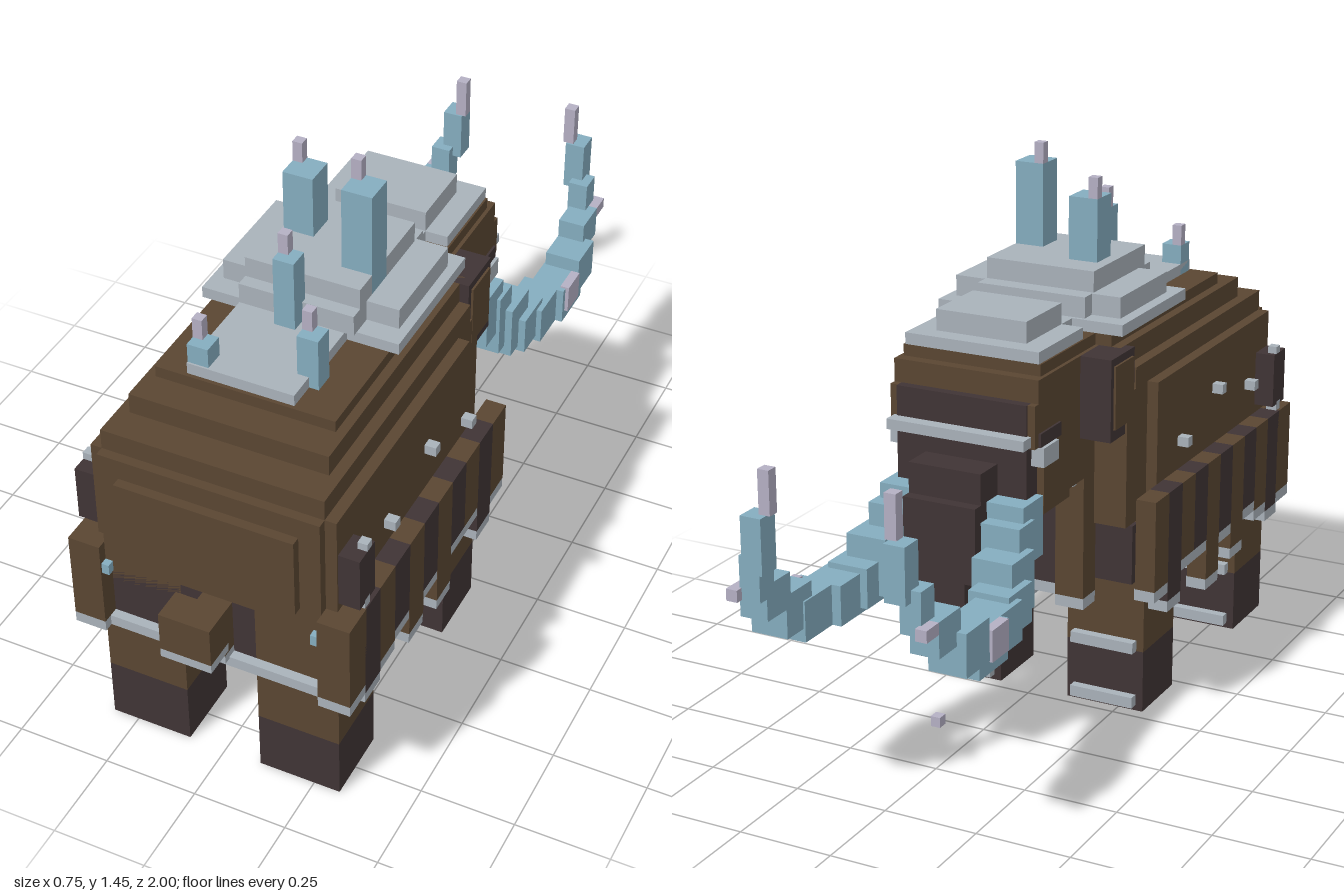
import * as THREE from 'three';

export function createModel() {
  const model = new THREE.Group();
  const mat = (name, color) => {
    const m = new THREE.MeshStandardMaterial({ color });
    m.name = name;
    return m;
  };
  const brown = mat('brown fur', 0x5a4632);
  const dark = mat('dark fur', 0x403435);
  const ice = mat('pale ice', 0xa9b2ba);
  const blue = mat('blue ice', 0x85adbf);
  const lilac = mat('lilac frost', 0xb5b0c4);

  // box given by its min and max along each axis
  const box = (name, m, x0, x1, y0, y1, z0, z1) => {
    const mesh = new THREE.Mesh(new THREE.BoxGeometry(x1 - x0, y1 - y0, z1 - z0), m);
    mesh.position.set((x0 + x1) / 2, (y0 + y1) / 2, (z0 + z1) / 2);
    mesh.name = name;
    model.add(mesh);
  };
  // box centred on x, and a left/right pair of boxes
  const mid = (name, m, w, ...r) => box(name, m, -w, w, ...r);
  const pair = (name, m, x0, x1, ...r) => {
    box(name + 'Left', m, x0, x1, ...r);
    box(name + 'Right', m, -x1, -x0, ...r);
  };

  // stepped body
  mid('bodyMain', brown, 0.32, 0.53, 0.89, 0.1, 0.84);
  mid('bodyShoulder', brown, 0.29, 0.53, 0.89, -0.02, 0.1);
  mid('rumpLower', brown, 0.29, 0.56, 0.89, 0.84, 0.865);
  mid('rumpPanel', brown, 0.235, 0.615, 0.835, 0.865, 0.89);
  mid('bodyUpper', brown, 0.29, 0.89, 0.945, 0.03, 0.84);
  mid('bodyHigh', brown, 0.26, 0.945, 1.0, 0.0, 0.755);
  mid('bodyTop', brown, 0.235, 1.0, 1.03, 0.0, 0.67);
  mid('neck', brown, 0.2, 0.65, 1.0, -0.08, 0.03);
  mid('belly', dark, 0.3, 0.37, 0.53, 0.0, 0.84);
  mid('rumpIceRim', ice, 0.29, 0.34, 0.37, 0.82, 0.865);
  mid('rumpTuft', brown, 0.04, 0.39, 0.53, 0.84, 0.885);
  mid('rumpTuftIce', ice, 0.04, 0.365, 0.39, 0.84, 0.885);
  pair('rumpCorner', brown, 0.29, 0.375, 0.37, 0.615, 0.8, 0.89);
  pair('rumpCornerIce', ice, 0.29, 0.375, 0.34, 0.37, 0.8, 0.89);
  pair('rumpCrystal', blue, 0.27, 0.295, 0.53, 0.56, 0.865, 0.885);
  pair('hipTuft', dark, 0.32, 0.375, 0.64, 0.79, 0.755, 0.835);
  pair('hipTuftIce', ice, 0.35, 0.375, 0.79, 0.81, 0.77, 0.795);

  // tail
  mid('tail', brown, 0.068, 0.475, 0.585, 0.915, 1.0);
  mid('tailIce', ice, 0.068, 0.45, 0.475, 0.915, 1.0);

  // hanging fur skirt in strips, each tipped with ice
  const hems = [0.34, 0.31, 0.34, 0.37, 0.285, 0.36, 0.255, 0.37, 0.37, 0.285, 0.34];
  hems.forEach((h, i) => {
    const z = 0.89 - i * 0.083;
    if (i) pair('skirtStrip', i % 2 ? dark : brown, 0.32, 0.375, h + 0.03, 0.615, z - 0.083, z);
    pair('skirtIce', ice, 0.318, 0.374, h, h + 0.03, z - 0.083, z);
  });
  // chest bib
  for (let i = 0; i < 5; i++) {
    const x = -0.2 + i * 0.08, h = i % 2 ? 0.34 : 0.31;
    box('chestStrip', i % 2 ? dark : brown, x, x + 0.08, h + 0.03, 0.65, -0.08, -0.01);
    box('chestIce', ice, x, x + 0.08, h, h + 0.03, -0.08, -0.01);
  }
  mid('throatIce', ice, 0.18, 0.65, 0.675, -0.1, -0.02);

  // small frost cubes on the flanks
  for (const [y, z] of [[0.74, 0.63], [0.795, 0.405], [0.715, 0.185], [0.635, 0.795]])
    pair('flankFrost', ice, 0.345, 0.375, y - 0.013, y + 0.013, z - 0.013, z + 0.013);

  // legs with dark feet and ice plates on the front
  for (const [z0, z1] of [[0.645, 0.84], [0.035, 0.225]]) {
    pair('leg', brown, 0.1, 0.32, 0.17, 0.53, z0, z1);
    pair('foot', dark, 0.1, 0.32, 0, 0.17, z0, z1);
    pair('toeIce', ice, 0.12, 0.3, 0.015, 0.045, z0 - 0.025, z0);
    pair('ankleIce', ice, 0.12, 0.3, 0.17, 0.2, z0 - 0.025, z0);
  }

  // ice sheets on the back
  box('backIceWide', ice, -0.265, 0.26, 1.03, 1.06, 0.0, 0.385);
  box('backIceRear', ice, -0.155, 0.125, 1.03, 1.06, 0.385, 0.66);
  box('backIceMiddle', ice, -0.235, 0.235, 1.06, 1.115, 0.05, 0.33);
  box('backIceMiddleRear', ice, -0.155, 0.15, 1.06, 1.115, 0.01, 0.4);
  box('backIceTop', ice, -0.155, 0.15, 1.115, 1.17, 0.06, 0.365);

  // crystals: x0, z0, width, base y, top y, tip on the low x and low z corner
  for (const [x, z, w, y0, y1] of [
    [-0.125, 0.14, 0.08, 1.1, 1.335], [0.07, 0.22, 0.08, 1.1, 1.39],
    [-0.04, 0.385, 0.055, 1.05, 1.25], [0.095, 0.53, 0.055, 1.0, 1.17],
    [-0.155, 0.6, 0.055, 1.0, 1.112]]) {
    box('crystal', blue, x, x + w, y0, y1, z, z + w);
    box('crystalTip', lilac, x, x + 0.026, y1, y1 + 0.055, z, z + 0.026);
  }

  // head
  mid('headMain', brown, 0.2, 0.67, 1.0, -0.3, -0.03);
  mid('headTop', brown, 0.19, 1.0, 1.03, -0.3, 0.0);
  mid('forehead', brown, 0.2, 0.94, 1.0, -0.33, -0.28);
  mid('jaw', brown, 0.16, 0.615, 0.69, -0.225, -0.05);
  mid('face', dark, 0.18, 0.66, 0.94, -0.355, -0.3);
  pair('temple', brown, 0.18, 0.2, 0.83, 0.94, -0.35, -0.3);
  pair('eyeSocket', dark, 0.195, 0.206, 0.83, 0.865, -0.33, -0.22);
  pair('cheekIce', ice, 0.17, 0.215, 0.78, 0.83, -0.33, -0.25);
  mid('browIce', ice, 0.19, 0.835, 0.862, -0.39, -0.35);
  mid('headIceBase', ice, 0.185, 1.03, 1.06, -0.3, -0.06);
  mid('headIceStep', ice, 0.125, 1.03, 1.06, -0.06, 0.0);
  mid('headIceTop', ice, 0.125, 1.06, 1.115, -0.25, -0.06);

  // ears with a paler panel
  pair('ear', dark, 0.2, 0.285, 0.785, 1.0, -0.105, 0.03);
  pair('earPanel', brown, 0.285, 0.291, 0.815, 0.98, -0.09, 0.015);

  // trunk
  mid('trunkTop', dark, 0.1, 0.62, 0.78, -0.44, -0.28);
  mid('trunkMiddle', dark, 0.1, 0.5, 0.7, -0.47, -0.335);
  mid('trunkLower', dark, 0.07, 0.285, 0.5, -0.47, -0.335);
  mid('frostFlake', lilac, 0.013, 0.115, 0.142, -0.5, -0.472);

  // curved tusks built of overlapping blocks: x0, x1, y0, y1, z0, z1
  for (const b of [
    [0.1, 0.2, 0.545, 0.7, -0.41, -0.305], [0.105, 0.21, 0.48, 0.66, -0.45, -0.37],
    [0.12, 0.23, 0.45, 0.6, -0.525, -0.41], [0.14, 0.25, 0.435, 0.54, -0.58, -0.46],
    [0.16, 0.265, 0.42, 0.525, -0.67, -0.54], [0.185, 0.285, 0.42, 0.525, -0.79, -0.65],
    [0.19, 0.29, 0.455, 0.565, -0.86, -0.75], [0.19, 0.265, 0.53, 0.62, -0.94, -0.84],
    [0.185, 0.24, 0.59, 0.7, -0.975, -0.915], [0.16, 0.215, 0.67, 0.81, -1.0, -0.94]])
    pair('tuskBlock', blue, ...b);
  pair('tuskTip', lilac, 0.15, 0.18, 0.81, 0.92, -0.975, -0.945);
  pair('tuskFrost', lilac, 0.27, 0.295, 0.45, 0.53, -0.745, -0.665);
  pair('tuskSpur', lilac, 0.235, 0.265, 0.59, 0.62, -0.995, -0.94);

  return model;
}
